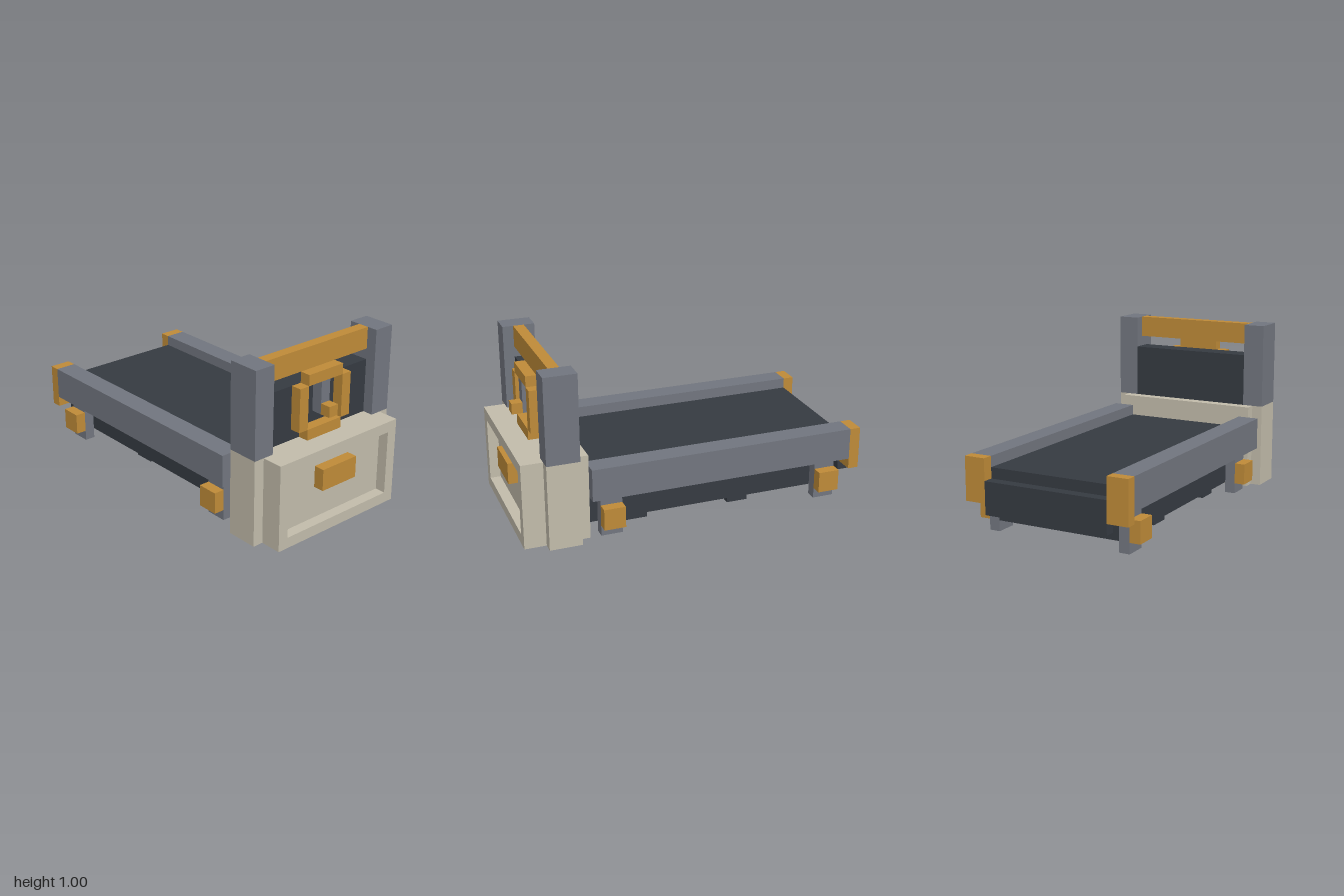
import * as THREE from 'three';

const material = (name, color) => {
  const m = new THREE.MeshStandardMaterial({ color });
  m.name = name;
  return m;
};

export function createModel() {
  const stone = material('pale stone', 0xc1bbaa);
  const brass = material('brass', 0xbe8a38);
  const grey = material('grey metal', 0x71757e);
  const dark = material('dark metal', 0x353a41);
  const model = new THREE.Group();
  model.name = 'bed';
  const U = 1 / 16; // all sizes sit on a sixteenth grid

  // Box from minimum to maximum corner, in grid units
  function box(name, mat, [x0, x1], [y0, y1], [z0, z1]) {
    const geo = new THREE.BoxGeometry((x1 - x0) * U, (y1 - y0) * U, (z1 - z0) * U);
    const mesh = new THREE.Mesh(geo, mat);
    mesh.position.set((x0 + x1) * U / 2, (y0 + y1) * U / 2, (z0 + z1) * U / 2);
    mesh.name = name;
    model.add(mesh);
  }
  // The same box on both sides
  function pair(name, mat, [x0, x1], y, z) {
    box(name + 'Left', mat, [x0, x1], y, z);
    box(name + 'Right', mat, [-x1, -x0], y, z);
  }

  // Chest with a framed, recessed front and a handle
  box('chestBody', stone, [-7, 7], [0, 8], [10, 15]);
  const frame = new THREE.Shape([[-7, 0], [7, 0], [7, 8], [-7, 8]].map(([x, y]) => new THREE.Vector2(x * U, y * U)));
  frame.holes.push(new THREE.Path([[-6, 1], [-6, 7], [6, 7], [6, 1]].map(([x, y]) => new THREE.Vector2(x * U, y * U))));
  const chestFrame = new THREE.Mesh(new THREE.ExtrudeGeometry(frame, { depth: U, bevelEnabled: false }), stone);
  chestFrame.position.z = 15 * U;
  chestFrame.name = 'chestFrame';
  model.add(chestFrame);
  box('chestHandle', brass, [-2, 2], [4, 6], [15, 16]);

  // Headboard posts, panel and top beam
  pair('postBase', stone, [6, 8], [0, 8], [11, 14]);
  pair('post', grey, [6, 8], [8, 16], [11, 14]);
  box('headboard', dark, [-6, 6], [8, 13], [11, 13]);
  box('topBeam', brass, [-6, 6], [14, 16], [12, 13]);

  // Ornament on the headboard
  box('ornamentTop', brass, [-2, 2], [13, 14], [13, 14]);
  box('ornamentBottom', brass, [-2, 2], [8, 9], [13, 14]);
  pair('ornamentSide', brass, [2, 3], [9, 13], [13, 14]);
  box('ornamentLever', grey, [-0.5, 0.5], [10, 13], [13, 14]);
  box('ornamentKnob', brass, [-0.5, 0.5], [10, 11], [14, 15]);

  // Bed base, mattress and footboard
  box('bedBase', dark, [-6, 6], [1, 4], [-14, 10]);
  box('mattress', dark, [-6, 6], [4, 6], [-15, 10]);
  box('footboard', dark, [-6, 6], [2, 5], [-16, -15]);

  // Side rails with end caps
  pair('sideRail', grey, [6, 8], [4, 7], [-15, 10]);
  pair('railCap', brass, [6, 8], [3, 7], [-16, -15]);

  // Legs with outer blocks
  for (const [where, z] of [['front', [7, 9]], ['rear', [-14, -12]]]) {
    pair(where + 'Leg', grey, [6, 7], [0, 4], z);
    pair(where + 'LegBlock', brass, [7, 8], [1, 3], z);
  }

  // Small feet under the base
  for (const [where, z] of [['front', [4, 6]], ['rear', [-6, -4]]]) {
    pair(where + 'Foot', dark, [3, 5], [0, 1], z);
  }
  return model;
}
